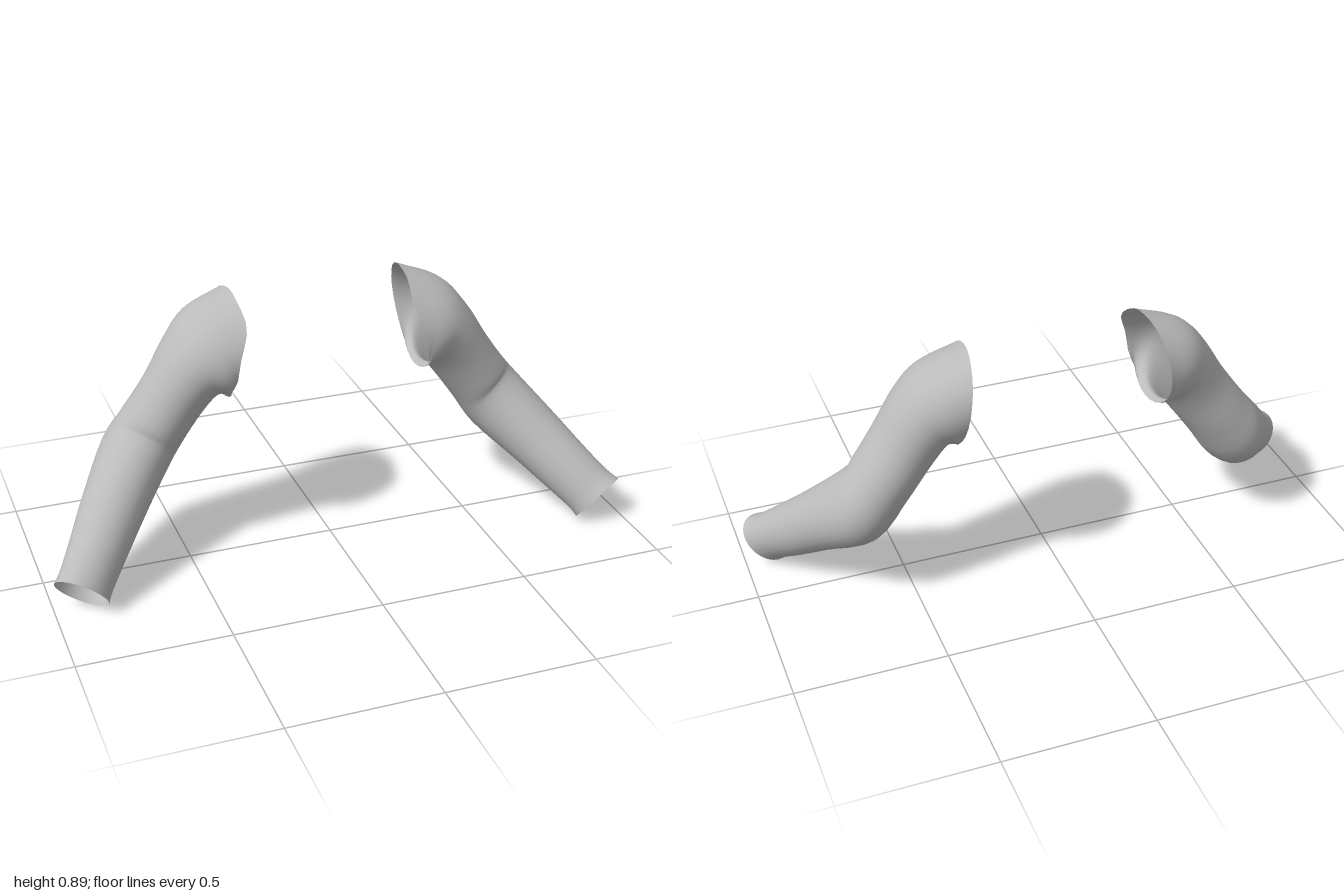
import * as THREE from 'three';

const SIDES = 28, STEPS = 36;

// Cross-sections from shoulder to wrist:
// centre, half-axis towards the outer/upper edge, half-axis towards the front
const RINGS = [
  [[0.32, 0.72, -0.115], [-0.022, 0.17, -0.025], [-0.018, 0.0, 0.172]],
  [[0.39, 0.69, -0.108], [0.052, 0.143, -0.02], [-0.005, 0.0, 0.166]],
  [[0.445, 0.652, -0.105], [0.08, 0.092, -0.008], [0, 0, 0.144]],
  [[0.51, 0.56, -0.105], [0.091, 0.063, 0], [0, 0, 0.125]],
  [[0.585, 0.455, -0.108], [0.09, 0.064, 0], [-0.012, 0.012, 0.122]],
  [[0.65, 0.365, -0.098], [0.078, 0.088, 0], [-0.05, 0.052, 0.112]],
  [[0.755, 0.25, 0.02], [0.077, 0.073, 0], [-0.048, 0.05, 0.083]],
  [[0.835, 0.16, 0.12], [0.07, 0.067, 0], [-0.041, 0.043, 0.071]],
  [[0.89, 0.1, 0.19], [0.068, 0.063, 0], [-0.035, 0.037, 0.061]],
  [[0.915, 0.073, 0.222], [0.074, 0.064, 0.006], [-0.034, 0.036, 0.061]],
];

// Smooth curves through the centres and both half-axes
const curves = [0, 1, 2].map((k) => new THREE.CatmullRomCurve3(
  RINGS.map((r) => new THREE.Vector3(...r[k])), false, 'catmullrom', 0.5));

function sleeveGeometry(side) {
  const pos = [], index = [];
  for (let i = 0; i <= STEPS; i++) {
    const t = i / STEPS;
    const [c, u, w] = curves.map((curve) => curve.getPoint(t));
    // the uneven armhole edge fades out quickly along the arm
    const rim = Math.max(0, 1 - t / 0.1);
    for (let j = 0; j < SIDES; j++) {
      const a = (j / SIDES) * Math.PI * 2;
      const p = c.clone().addScaledVector(u, Math.cos(a)).addScaledVector(w, Math.sin(a));
      const frontLow = Math.max(0, Math.cos(a - 2.3));
      p.x += rim * (0.025 * frontLow ** 3 + 0.008 * Math.max(0, Math.sin(a)) * Math.sin(5 * a));
      pos.push(side * p.x, p.y, p.z);
    }
  }
  for (let i = 0; i < STEPS; i++) {
    for (let j = 0; j < SIDES; j++) {
      const k = (j + 1) % SIDES;
      const a = i * SIDES + j, b = i * SIDES + k, c = a + SIDES, d = b + SIDES;
      if (side > 0) index.push(a, b, c, b, d, c);
      else index.push(a, c, b, b, c, d);
    }
  }
  const g = new THREE.BufferGeometry();
  g.setAttribute('position', new THREE.Float32BufferAttribute(pos, 3));
  g.setIndex(index);
  g.computeVertexNormals();
  return g;
}

export function createModel() {
  const group = new THREE.Group();
  group.name = 'sleeves';
  const cloth = new THREE.MeshStandardMaterial({ color: 0xbbbbbb, side: THREE.DoubleSide });
  cloth.name = 'grey cloth';
  // Mirrored pair of open, bent sleeves
  for (const [name, side] of [['leftSleeve', 1], ['rightSleeve', -1]]) {
    const mesh = new THREE.Mesh(sleeveGeometry(side), cloth);
    mesh.name = name;
    group.add(mesh);
  }
  return group;
}
